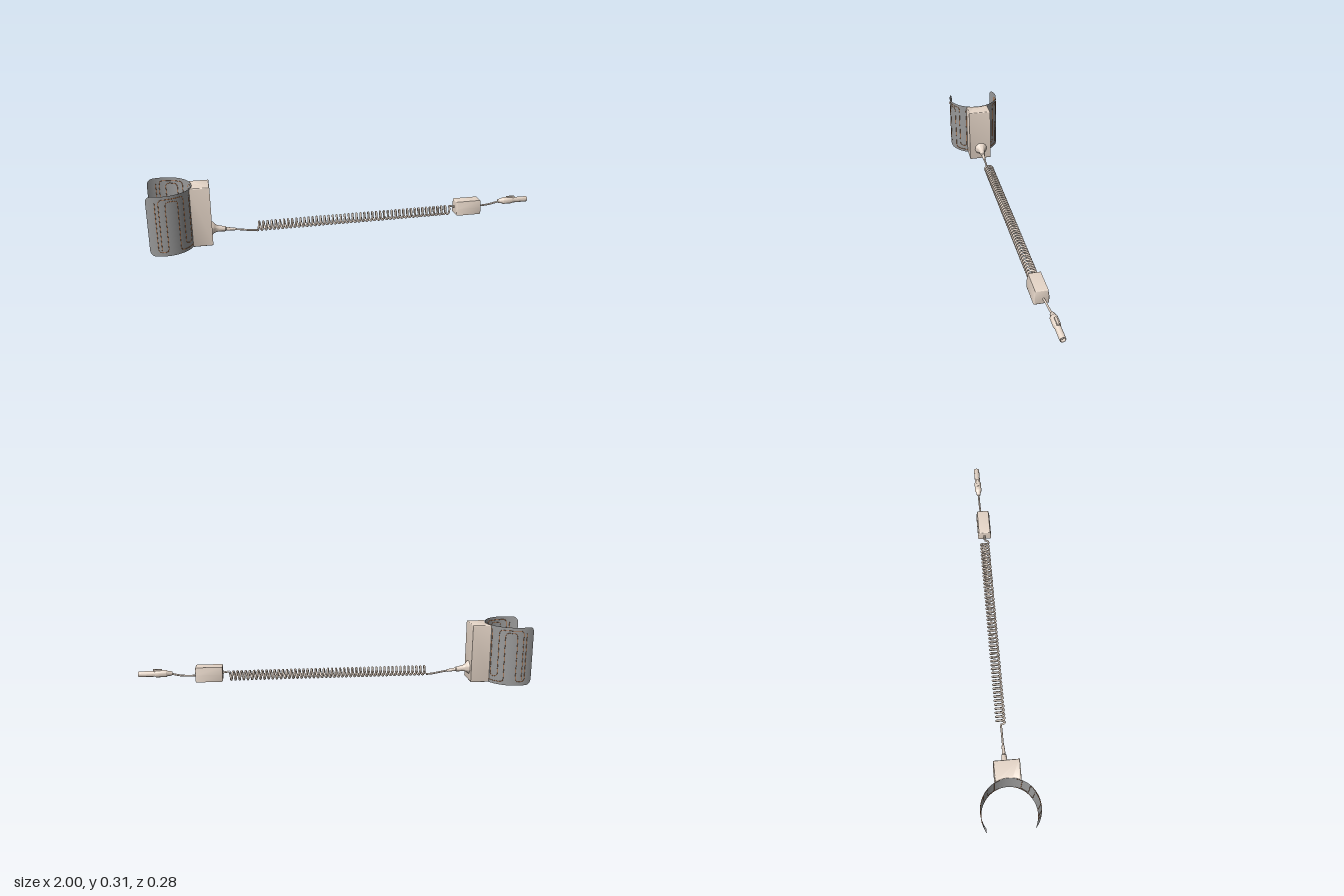
import * as THREE from 'three';
import { toCreasedNormals } from 'three/addons/utils/BufferGeometryUtils.js';

const V = (x, y, z) => new THREE.Vector3(x, y, z);
const CX = -0.925, R = 0.14, H = 0.305; // cuff axis, radius, height

export function createModel() {
  const model = new THREE.Group();
  const beige = new THREE.MeshStandardMaterial({ color: 0xe6d6c8 });
  const steel = new THREE.MeshStandardMaterial({ color: 0x999999, side: THREE.DoubleSide });
  const copper = new THREE.MeshStandardMaterial({ color: 0xb5652b });

  const add = (name, geometry, material = beige) => {
    const mesh = new THREE.Mesh(geometry, material);
    mesh.name = name;
    model.add(mesh);
    return mesh;
  };
  // Turned part along x; profile points are [x, radius]
  const turned = (name, profile) => {
    const pts = profile.map(([x, r]) => new THREE.Vector2(r, x));
    const geo = new THREE.LatheGeometry(pts, 28).rotateZ(-Math.PI / 2);
    return add(name, toCreasedNormals(geo, 0.6));
  };
  const cable = (name, points, segments = 30) =>
    add(name, new THREE.TubeGeometry(new THREE.CatmullRomCurve3(points), segments, 0.005, 8));

  // Open cuff: a sheet bent round the y axis, with rounded corners at the opening
  const sheet = new THREE.PlaneGeometry(2, 1, 120, 1);
  const pos = sheet.attributes.position;
  const half = THREE.MathUtils.degToRad(122.4), corner = 0.03;
  for (let i = 0; i < pos.count; i++) {
    const u = Math.sin(pos.getX(i) * Math.PI / 2);
    const d = Math.max(0, corner - (1 - Math.abs(u)) * half * R);
    const inset = corner - Math.sqrt(Math.max(0, corner * corner - d * d));
    const a = -u * half;
    pos.setXYZ(i, CX + R * Math.cos(a), pos.getY(i) > 0 ? H - inset : inset, R * Math.sin(a));
  }
  sheet.computeVertexNormals();
  add('cuff', sheet, steel);

  // Conductor tracks: rounded polylines of [angle in degrees, height] laid on the cuff
  const track = (points, side) => {
    const p = points.map(([deg, y]) => new THREE.Vector2(THREE.MathUtils.degToRad(deg) * R, y));
    const path = new THREE.Path().moveTo(p[0].x, p[0].y);
    for (let i = 1; i < p.length - 1; i++) {
      const before = p[i - 1].clone().sub(p[i]), after = p[i + 1].clone().sub(p[i]);
      const r = Math.min(0.02, before.length() / 2, after.length() / 2);
      const s = before.setLength(r).add(p[i]), e = after.setLength(r).add(p[i]);
      path.lineTo(s.x, s.y);
      path.quadraticCurveTo(p[i].x, p[i].y, e.x, e.y);
    }
    path.lineTo(p.at(-1).x, p.at(-1).y);
    const curve = new THREE.CatmullRomCurve3(path.getSpacedPoints(160).map((q) => {
      const a = side * q.x / R;
      return V(CX + R * Math.cos(a), q.y, R * Math.sin(a));
    }));
    add('conductorTrack', new THREE.TubeGeometry(curve, 200, 0.0013, 5), copper);
  };
  for (const side of [1, -1]) {
    track([[15, 0.288], [27.5, 0.288], [27.5, 0.04], [45.5, 0.04], [45.5, 0.288], [97, 0.288], [97, 0.03]], side);
    track([[15, 0.016], [59, 0.016], [59, 0.275], [84, 0.275], [84, 0.02], [104, 0.02], [104, 0.275]], side);
  }

  // Housing: hollowed at the back to sit on the cuff
  const bevel = 0.006, w = 0.0625 - bevel, rIn = R + 0.001 + bevel, aIn = Math.asin(w / rIn);
  const plan = new THREE.Shape();
  plan.moveTo(-0.70 - bevel, -w);
  plan.lineTo(-0.70 - bevel, w);
  plan.lineTo(CX + rIn * Math.cos(aIn), w);
  plan.absarc(CX, 0, rIn, aIn, -aIn, true);
  const housing = new THREE.ExtrudeGeometry(plan, {
    depth: H - 2 * bevel, bevelSize: bevel, bevelThickness: bevel, bevelSegments: 4, curveSegments: 16,
  }).rotateX(-Math.PI / 2).translate(0, bevel, 0);
  add('housing', toCreasedNormals(housing, 0.6));

  // Flared strain relief, dipping towards the cable
  const relief = turned('strainRelief', [
    [-0.004, 0], [-0.004, 0.036], [0.003, 0.034], [0.012, 0.024], [0.022, 0.018], [0.035, 0.015],
    [0.065, 0.013], [0.07, 0.009], [0.115, 0.007], [0.117, 0]]);
  relief.position.set(-0.70, 0.066, -0.003);
  relief.rotation.z = -0.13;

  // Cables and coil
  const coilY = 0.057, coilZ = -0.004, coilR = 0.022, turns = 48, x0 = -0.475, x1 = 0.55;
  cable('leadCable', [V(-0.60, 0.053, -0.003), V(-0.55, 0.045, -0.003), V(-0.51, 0.038, -0.003), V(x0, coilY - coilR, coilZ)]);
  class Coil extends THREE.Curve {
    getPoint(t, target = V(0, 0, 0)) {
      const a = -Math.PI / 2 + t * (turns + 0.5) * Math.PI * 2;
      return target.set(x0 + (x1 - x0) * t, coilY + coilR * Math.sin(a), coilZ + coilR * Math.cos(a));
    }
  }
  const coil = new Coil();
  coil.arcLengthDivisions = 2000;
  add('coiledCable', new THREE.TubeGeometry(coil, turns * 24, 0.0052, 8));
  cable('coilEndCable', [V(x1, coilY + coilR, coilZ), V(0.563, 0.077, -0.003), V(0.59, 0.072, 0)], 14);
  cable('plugCable', [V(0.70, 0.065, -0.005), V(0.74, 0.064, -0.011), V(0.79, 0.068, -0.013), V(0.845, 0.08, -0.013)]);

  // Filter block: tapered section run along x
  const b = 0.006;
  const section = new THREE.Shape([
    [-0.03, 0.041], [0.03, 0.041], [0.03, 0.072], [0.025, 0.104], [-0.025, 0.104], [-0.03, 0.072],
  ].map(([z, y]) => new THREE.Vector2(z, y)));
  const block = new THREE.ExtrudeGeometry(section, {
    depth: 0.137 - 2 * b, bevelSize: b, bevelThickness: b, bevelSegments: 4,
  }).rotateY(Math.PI / 2).translate(0.58 + b, 0, 0);
  add('filterBlock', toCreasedNormals(block, 0.6));

  // Plug: sleeve, grip and hollow barrel with a key
  const plug = turned('plug', [
    [0.832, 0], [0.832, 0.008], [0.838, 0.011], [0.856, 0.014], [0.862, 0.018], [0.912, 0.018], [0.918, 0.0145],
    [0.998, 0.0145], [1, 0.0135], [1, 0.0105], [0.965, 0.0105], [0.965, 0]]);
  plug.position.set(0, 0.08, -0.013);
  const pin = turned('plugPin', [[0.96, 0], [0.96, 0.006], [0.99, 0.006], [0.992, 0.005], [0.992, 0]]);
  pin.position.copy(plug.position);
  add('plugKey', new THREE.BoxGeometry(0.045, 0.012, 0.011).translate(0.905, 0.097, -0.013));

  return model;
}
